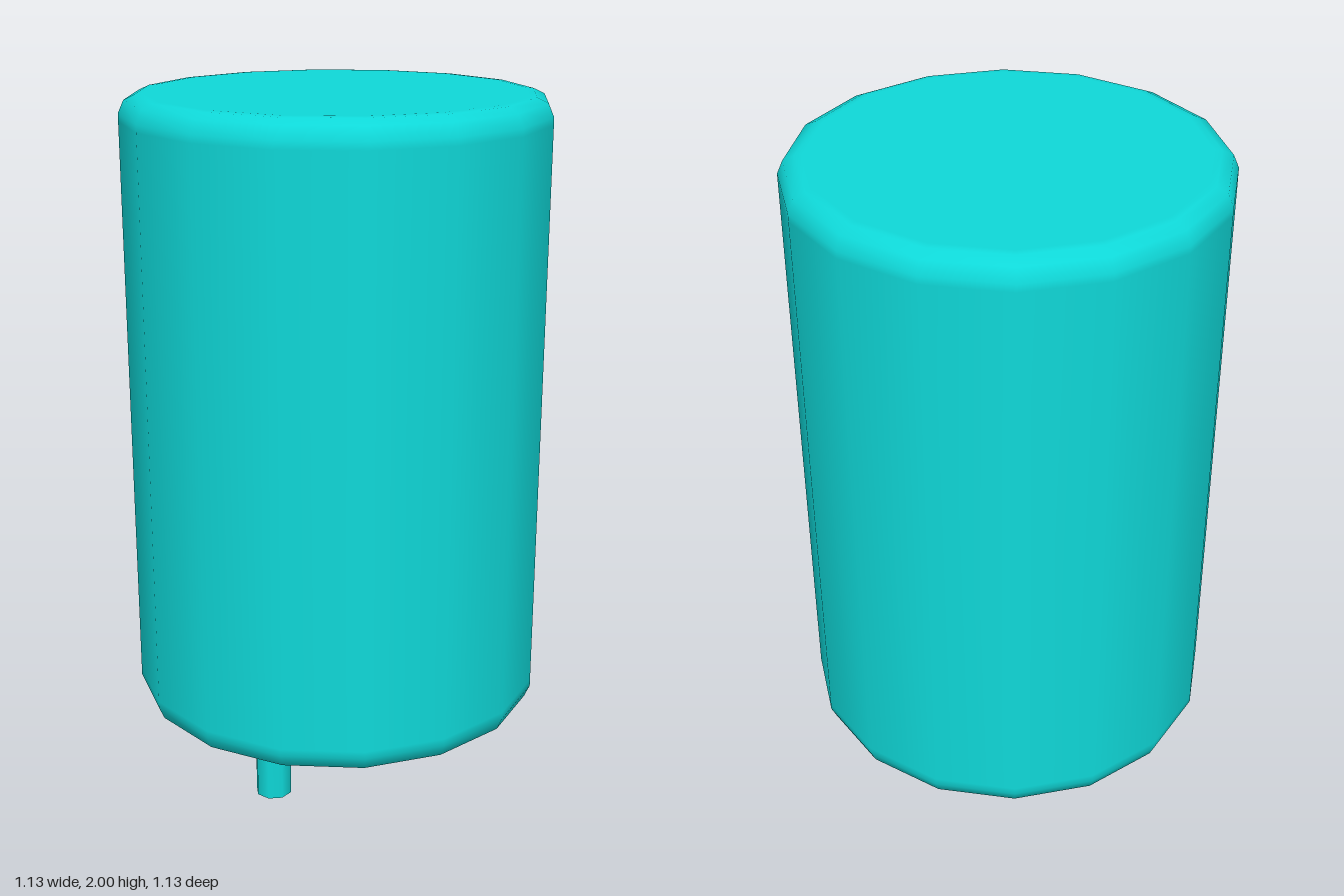
import * as THREE from 'three';

export function createModel() {
  const group = new THREE.Group();
  const material = new THREE.MeshStandardMaterial({ color: 0x0fd9d9 });

  // Can: 16-sided lathe with rounded rims; inner cap rings keep the ends flat
  const bottom = 0.31, top = 2;
  const rim = [[0, 0], [0.5, 0], [0.52, 0.002], [0.55, 0.016], [0.565, 0.05], [0.565, 0.07]];
  const profile = [
    ...rim.map(([r, d]) => new THREE.Vector2(r, bottom + d)),
    ...rim.map(([r, d]) => new THREE.Vector2(r, top - d)).reverse(),
  ];
  const can = new THREE.Mesh(new THREE.LatheGeometry(profile, 16), material);
  can.name = 'canBody';
  group.add(can);

  // Two round wire leads below the can
  const leadLength = bottom + 0.01;
  const leadGeometry = new THREE.CylinderGeometry(0.052, 0.052, leadLength, 8);
  for (const side of [-1, 1]) {
    const lead = new THREE.Mesh(leadGeometry, material);
    lead.name = side > 0 ? 'leftLead' : 'rightLead';
    lead.position.set(side * 0.213, leadLength / 2, 0);
    group.add(lead);
  }
  return group;
}
